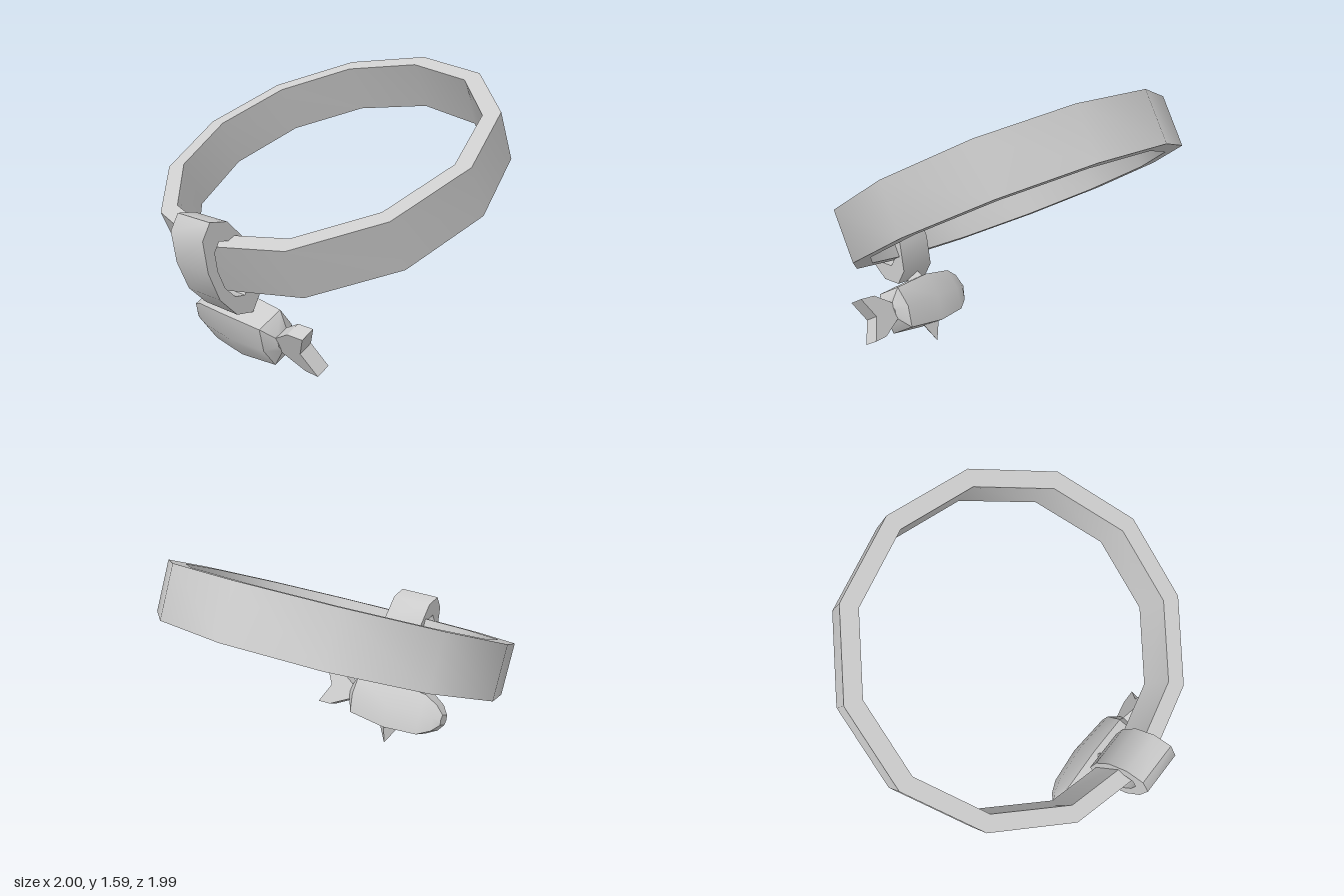
import * as THREE from 'three';
import { toCreasedNormals } from 'three/addons/utils/BufferGeometryUtils.js';

const material = new THREE.MeshStandardMaterial({ color: 0xcccccc });
const TILT = 0.434;

function part(name, geometry, crease) {
  const mesh = new THREE.Mesh(toCreasedNormals(geometry, crease), material);
  mesh.name = name;
  return mesh;
}

// Extrude an outline drawn in (a, b), centred on its depth axis
function slab(points, depth, hole) {
  const vecs = (list) => list.map(([a, b]) => new THREE.Vector2(a, b));
  const shape = new THREE.Shape(vecs(points));
  if (hole) shape.holes.push(new THREE.Path(vecs(hole)));
  const geometry = new THREE.ExtrudeGeometry(shape, { depth, bevelEnabled: false });
  return geometry.translate(0, 0, -depth / 2);
}

// Six-sided body lofted along x from [x, height scale, width scale]
function fishBody() {
  const section = [[0.152, -0.092], [0.152, 0.092], [0, 0.125], [-0.152, 0.092], [-0.152, -0.092], [0, -0.125]];
  const stations = [
    [-0.39, 0.22, 0.38], [-0.345, 0.56, 0.6], [-0.26, 0.87, 0.8],
    [-0.03, 1, 1], [0.24, 0.84, 0.88], [0.295, 0.28, 0.4],
  ];
  const n = section.length, last = (stations.length - 1) * n;
  const positions = [], index = [];
  for (const [x, h, w] of stations) for (const [y, z] of section) positions.push(x, y * h, z * w);
  for (let s = 0; s < last; s += n) {
    for (let i = 0; i < n; i++) {
      const j = (i + 1) % n;
      index.push(s + i, s + j, s + n + j, s + i, s + n + j, s + n + i);
    }
  }
  for (let i = 1; i < n - 1; i++) index.push(0, i + 1, i, last, last + i, last + i + 1);
  const geometry = new THREE.BufferGeometry();
  geometry.setAttribute('position', new THREE.Float32BufferAttribute(positions, 3));
  geometry.setIndex(index);
  return geometry;
}

export function createModel() {
  const model = new THREE.Group();
  model.name = 'braceletWithFishCharm';

  // Tilted twelve-sided hoop
  const h = 0.148;
  const profile = [[0.9, -h], [1, -h], [1, h], [0.9, h], [0.9, -h]].map(([r, y]) => new THREE.Vector2(r, y));
  const hoop = part('hoop', new THREE.LatheGeometry(profile, 12), 0.7);
  hoop.scale.z = 0.987;
  hoop.position.set(0, 1.04, -0.035);
  hoop.rotation.x = TILT;
  model.add(hoop);

  // Ten-sided oval hanger around the front of the hoop, outline in (z, y)
  const half = [[0.131, 0.27], [0.024, 0.254], [-0.083, 0.147], [-0.152, -0.013], [-0.179, -0.184]];
  const oval = [...half, ...half.map(([z, y]) => [-z, -y])];
  const inner = oval.map(([z, y]) => [z * 0.6, y * 0.6]);
  const hanger = part('hanger', slab(oval, 0.26, inner).rotateY(-Math.PI / 2), 1);
  hanger.position.set(0, 0.643, 0.822);
  model.add(hanger);

  // Fish charm, leaning with the hoop
  const fish = new THREE.Group();
  fish.name = 'fishCharm';
  fish.position.set(0, 0.24, 0.62);
  fish.rotation.x = TILT;
  fish.add(part('body', fishBody(), 0.62));

  // Forked tail
  const tail = [[0.27, -0.04], [0.43, -0.125], [0.52, -0.13], [0.45, 0.005], [0.52, 0.13], [0.41, 0.125], [0.27, 0.04]];
  fish.add(part('tailFin', slab(tail, 0.085), 0.5));

  // Four-sided top and bottom fins
  for (const side of [1, -1]) {
    const fin = part(side > 0 ? 'topFin' : 'bottomFin', new THREE.ConeGeometry(0.075, 0.13, 4), 0.5);
    fin.position.set(-0.02, side * 0.2, 0);
    if (side < 0) fin.rotation.x = Math.PI;
    fish.add(fin);
  }
  model.add(fish);
  return model;
}
